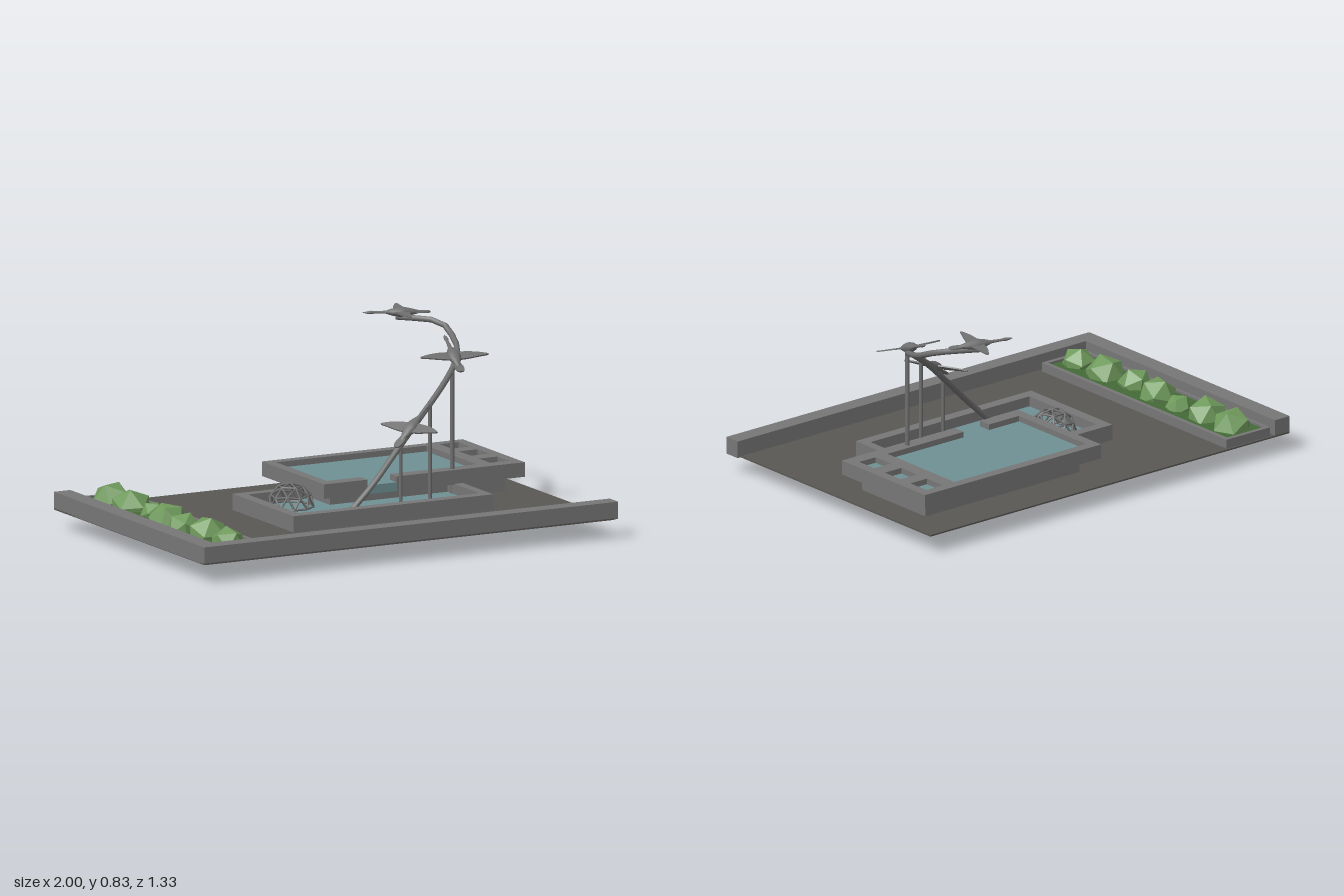
import * as THREE from 'three';

const mat = (color, extra = {}) => new THREE.MeshStandardMaterial({ color, ...extra });
const V = (...p) => new THREE.Vector3(...p);
const UP = V(0, 1, 0);

export function createModel() {
  const root = new THREE.Group();
  const stone = mat(0x777777), paving = mat(0x5a5855), water = mat(0x6f9094);
  const soil = mat(0x446a38), leaf = mat(0x6f9a5c, { flatShading: true });
  const metal = mat(0x707070), thin = mat(0x707070, { side: THREE.DoubleSide });

  const add = (name, geo, material, parent = root) => {
    const mesh = new THREE.Mesh(geo, material);
    mesh.name = name;
    parent.add(mesh);
    return mesh;
  };
  // box given by its limits on each axis
  const box = (name, x0, x1, y0, y1, z0, z1, material = stone) => {
    const mesh = add(name, new THREE.BoxGeometry(x1 - x0, y1 - y0, z1 - z0), material);
    mesh.position.set((x0 + x1) / 2, (y0 + y1) / 2, (z0 + z1) / 2);
    return mesh;
  };
  const rect = (x0, x1, z0, z1) => [[x0, z0], [x1, z0], [x1, z1], [x0, z1]];
  const toPoints = (list) => list.map(([x, z]) => new THREE.Vector2(x, z));
  // plan outline with holes, standing between two heights
  const walls = (name, outline, holes, y0, y1) => {
    const shape = new THREE.Shape(toPoints(outline));
    holes.forEach((h) => shape.holes.push(new THREE.Path(toPoints(h))));
    const geo = new THREE.ExtrudeGeometry(shape, { depth: y1 - y0, bevelEnabled: false });
    geo.rotateX(Math.PI / 2);
    add(name, geo, stone).position.y = y1;
  };
  // round bar between two points
  const bar = (name, a, b, r, sides, parent = root) => {
    const mesh = add(name, new THREE.CylinderGeometry(r, r, a.distanceTo(b), sides), metal, parent);
    mesh.position.copy(a).lerp(b, 0.5);
    mesh.quaternion.setFromUnitVectors(UP, b.clone().sub(a).normalize());
  };

  // Plaza and its boundary walls
  box('ground', -1, 0.98, 0.083, 0.09, -0.67, 0.66, paving);
  box('frontWall', -1, 1, 0.085, 0.16, 0.585, 0.66);
  box('leftWall', -1, -0.92, 0.085, 0.16, -0.67, 0.585);

  // Planter with a row of bushes
  walls('planterWalls', rect(-0.9, -0.66, -0.66, 0.565), [rect(-0.885, -0.68, -0.64, 0.545)], 0.085, 0.13);
  box('planterSoil', -0.885, -0.68, 0.085, 0.12, -0.64, 0.545, soil);
  [[-0.79, -0.54, 0.09], [-0.79, -0.37, 0.092], [-0.77, -0.21, 0.06], [-0.79, -0.045, 0.088],
    [-0.805, 0.12, 0.078], [-0.785, 0.295, 0.092], [-0.785, 0.475, 0.077]].forEach(([x, z, r], i) => {
    const bush = add('bush', new THREE.IcosahedronGeometry(r, 0), leaf);
    bush.position.set(x, 0.122, z);
    bush.rotation.set(i * 1.3, i * 2.1 + 0.4, i * 0.7);
  });

  // Lower pool
  walls('lowerPoolWalls', rect(-0.355, 0.61, -0.27, 0.27), [rect(-0.305, 0.57, -0.225, 0.22)], 0.085, 0.16);
  box('lowerWater', -0.305, 0.57, 0.085, 0.115, -0.225, 0.22, water);

  // Upper pool, open at the spillway, with three small basins beside it
  const basins = [[-0.505, -0.4], [-0.335, -0.23], [-0.16, -0.06]].map(([a, b]) => [0.775, 0.865, a, b]);
  walls('upperPoolWalls', [[0.29, 0], [0.91, 0], [0.91, -0.55], [-0.06, -0.55], [-0.06, 0], [0.15, 0],
    [0.15, -0.06], [-0.015, -0.06], [-0.015, -0.505], [0.71, -0.505], [0.71, -0.06], [0.29, -0.06]],
  basins.map((b) => rect(...b)), 0.157, 0.22);
  box('upperPoolBase', 0, 0.85, 0.085, 0.158, -0.48, -0.06);
  box('upperWater', -0.015, 0.71, 0.157, 0.195, -0.505, -0.06, water);
  box('spillwayWater', 0.15, 0.29, 0.157, 0.195, -0.06, 0.002, water);
  basins.forEach(([x0, x1, z0, z1]) => box('basinWater', x0, x1, 0.157, 0.195, z0, z1, water));

  // Lattice dome in the lower pool
  const dome = new THREE.Group();
  dome.name = 'latticeDome';
  dome.position.set(-0.175, 0.122, -0.09);
  root.add(dome);
  const ball = new THREE.IcosahedronGeometry(0.1, 1).rotateX(-1.0172);
  const edges = new THREE.EdgesGeometry(ball, 1).attributes.position;
  for (let i = 0; i < edges.count; i += 2) {
    const a = V().fromBufferAttribute(edges, i), b = V().fromBufferAttribute(edges, i + 1);
    if (a.y + b.y > -0.01) bar('domeStrut', a, b, 0.0045, 6, dome);
  }

  // Rising curved stem and its posts
  const path = new THREE.CatmullRomCurve3([
    V(-0.07, 0.115, 0.205), V(0.06, 0.235, 0.198), V(0.22, 0.38, 0.15), V(0.36, 0.5, 0.1),
    V(0.47, 0.575, 0.04), V(0.575, 0.64, -0.04), V(0.66, 0.685, -0.14), V(0.715, 0.725, -0.27),
    V(0.715, 0.775, -0.395), V(0.57, 0.79, -0.515)]);
  add('stem', new THREE.TubeGeometry(path, 20, 0.013, 8), thin);
  [[0.225, 0.155, 0.002, 0.385, 0.008], [0.405, 0.085, 0.027, 0.535, 0.008],
    [0.575, -0.03, 0.058, 0.64, 0.01]].forEach(([x, z, y0, y1, r]) => bar('post', V(x, y0, z), V(x, y1, z), r, 10));

  // Flying birds: body along +z, mirrored wings along x
  const bodyGeo = new THREE.LatheGeometry(toPoints([[0, -0.085], [0.008, -0.075], [0.018, -0.045], [0.029, -0.01],
    [0.029, 0.015], [0.02, 0.045], [0.009, 0.07], [0.007, 0.12], [0.01, 0.135], [0.008, 0.148], [0, 0.175]]), 10)
    .rotateX(Math.PI / 2).scale(1, 0.75, 1);
  const flat = (points) => {
    const shape = new THREE.Shape();
    shape.moveTo(...points[0]);
    shape.splineThru(toPoints(points.slice(1)));
    return new THREE.ExtrudeGeometry(shape, { depth: 0.006, bevelEnabled: false, curveSegments: 8 })
      .rotateX(Math.PI / 2).translate(0, 0.003, 0);
  };
  const wingGeo = flat([[0, -0.03], [0.06, -0.024], [0.11, -0.015], [0.15, -0.006], [0.11, 0.014], [0.06, 0.026], [0, 0.03]]);
  const tailGeo = flat([[-0.01, -0.04], [-0.02, -0.09], [-0.012, -0.118], [0.012, -0.118], [0.02, -0.09], [0.01, -0.04]]);
  const makeBird = (pos, heading) => {
    const bird = new THREE.Group();
    bird.name = 'bird';
    add('birdBody', bodyGeo, metal, bird);
    add('birdTail', tailGeo, thin, bird);
    for (const s of [1, -1]) {
      const wing = add(s > 0 ? 'leftWing' : 'rightWing', wingGeo, thin, bird);
      wing.scale.x = s;
      wing.rotation.z = s * 0.04;
    }
    bird.position.copy(pos);
    bird.lookAt(pos.clone().add(heading));
    root.add(bird);
  };
  makeBird(V(0.28, 0.455, 0.14), V(0.12, 0.085, -0.055));
  makeBird(V(0.62, 0.69, -0.095), V(0.035, 0.06, -0.15));
  makeBird(V(0.59, 0.812, -0.5), V(-0.165, 0.004, -0.05));

  return root;
}
